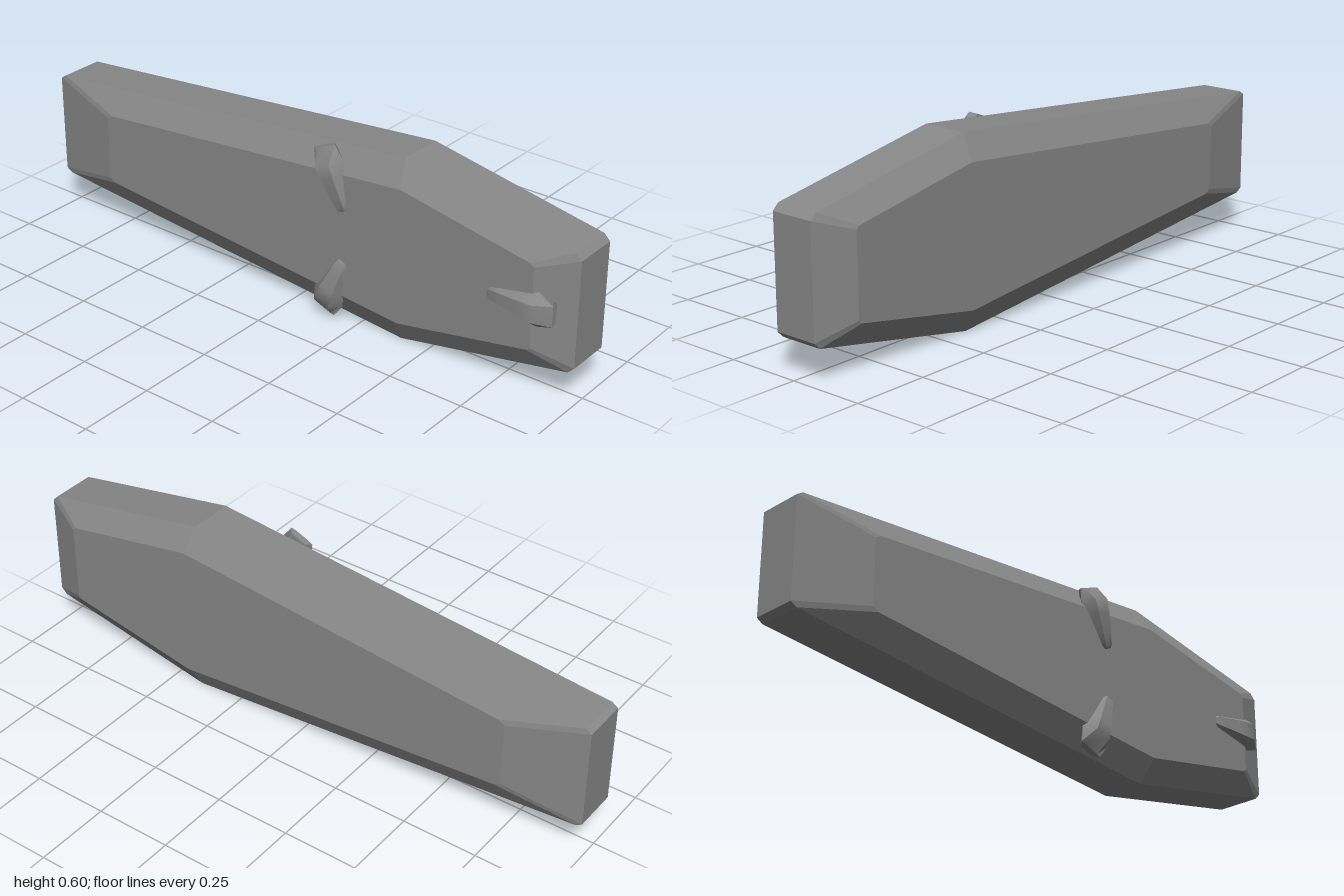
import * as THREE from 'three';
import { toCreasedNormals } from 'three/addons/utils/BufferGeometryUtils.js';

const MID_Y = 0.303;
const material = new THREE.MeshStandardMaterial({ color: 0x888888 });

// Skin a row of closed counter-clockwise loops and cap both ends.
function loft(loops, crease) {
  const n = loops[0].length;
  const positions = loops.flat(2);
  const index = [];
  for (let s = 0; s < loops.length - 1; s++) {
    for (let i = 0; i < n; i++) {
      const j = (i + 1) % n;
      const a = s * n + i, b = s * n + j, c = b + n, d = a + n;
      index.push(a, b, c, a, c, d);
    }
  }
  const last = (loops.length - 1) * n;
  for (let i = 1; i < n - 1; i++) {
    index.push(0, i + 1, i, last, last + i, last + i + 1);
  }
  const geometry = new THREE.BufferGeometry();
  geometry.setAttribute('position', new THREE.Float32BufferAttribute(positions, 3));
  geometry.setIndex(index);
  return toCreasedNormals(geometry, crease);
}

// Turn the lower half outline [x, half height] into a full symmetric loop at depth z.
function outline(half, z) {
  const lower = half.map(([x, h]) => [x, MID_Y - h, z]);
  const upper = half.map(([x, h]) => [x, MID_Y + h, z]).reverse();
  return [...lower, ...upper];
}

// Six-sided long box with bevelled front and back faces
function createBody() {
  const rim = [[-1, 0.165], [-0.98, 0.178], [0.4, 0.302], [0.98, 0.193], [1, 0.173]];
  const face = [[-0.75, 0.108], [-0.73, 0.12], [0.417, 0.223], [0.865, 0.14], [0.877, 0.13]];
  const mesh = new THREE.Mesh(loft([
    outline(face, -0.135),
    outline(rim, -0.088),
    outline(rim, 0.059),
    outline(face, 0.105),
  ], 0.05), material);
  mesh.name = 'body';
  return mesh;
}

// Tapered clasp running from its broad outer end (x = 0) towards -x.
function createClaspGeometry() {
  // x, half width, half width of the top ridge, ridge height
  const sections = [
    [-0.214, 0.016, 0.01, 0.109],
    [-0.204, 0.024, 0.015, 0.114],
    [-0.16, 0.033, 0.019, 0.122],
    [-0.1, 0.045, 0.025, 0.131],
    [-0.052, 0.057, 0.028, 0.135],
    [0, 0.042, 0.026, 0.1],
  ];
  return loft(sections.map(([x, w, t, top]) => [
    [x, -0.65 * w, 0.078], [x, 0.65 * w, 0.078],
    [x, w, 0.098], [x, t, top],
    [x, -t, top], [x, -w, 0.098],
  ]), 0.75);
}

export function createModel() {
  const model = new THREE.Group();
  model.name = 'casket';
  model.add(createBody());

  // One clasp on the end and a slightly shorter mirrored pair on the long sides
  const clasp = createClaspGeometry();
  const places = [
    ['endClasp', 0.943, 0, 0, 1],
    ['upperClasp', 0.134, 0.274, 1.95, 0.95],
    ['lowerClasp', 0.134, -0.274, -1.95, 0.95],
  ];
  for (const [name, x, dy, angle, length] of places) {
    const mesh = new THREE.Mesh(clasp, material);
    mesh.name = name;
    mesh.position.set(x, MID_Y + dy, 0);
    mesh.rotation.z = angle;
    mesh.scale.x = length;
    model.add(mesh);
  }
  return model;
}
